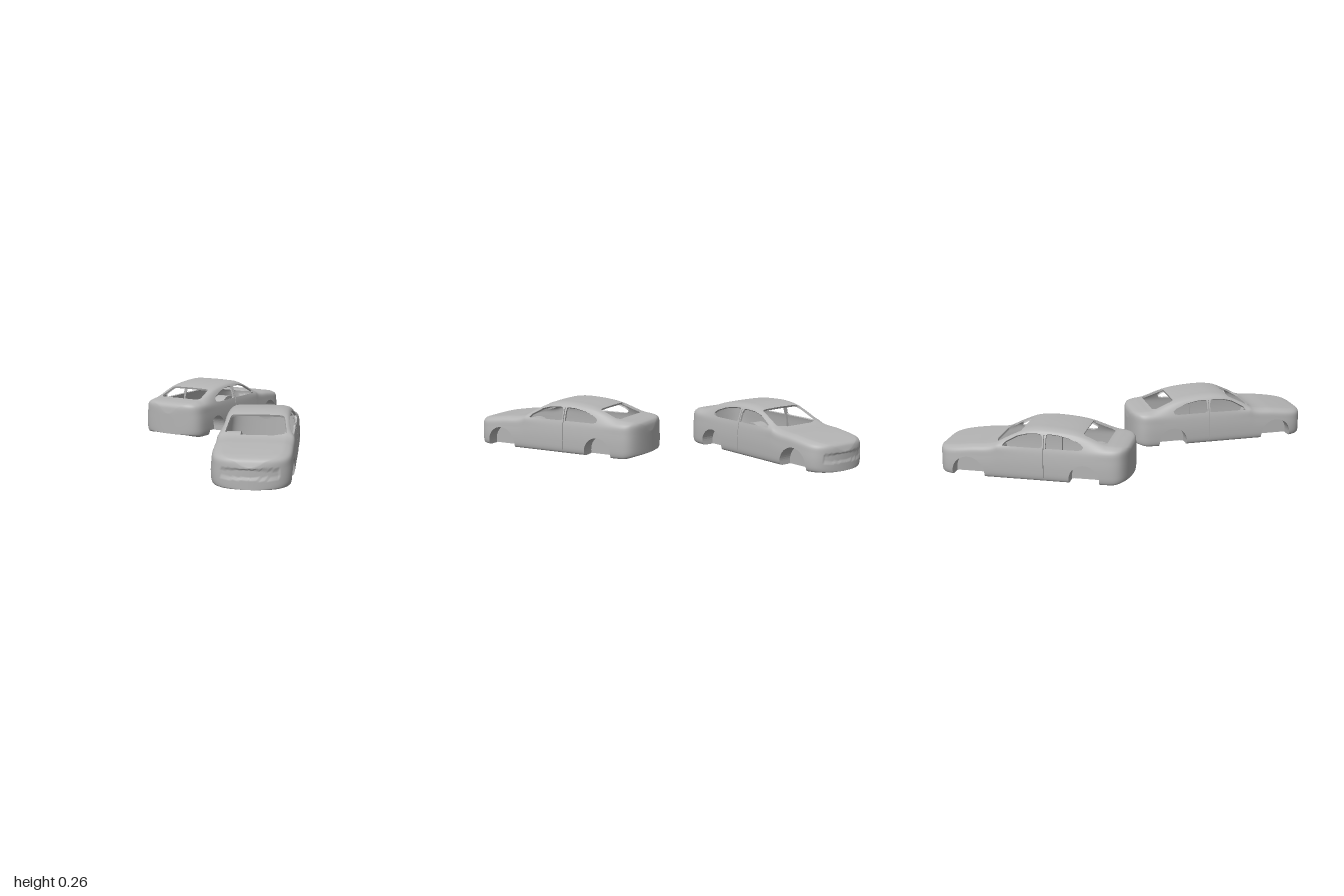
import * as THREE from 'three';

const HALF_LENGTH = 0.497, HALF_WIDTH = 0.184, ARCH_DEPTH = 0.11, SEAM = -0.076, FLOOR = 0.006;
const ARCHES = [{ z: 0.315, r: 0.085, y: 0.022 }, { z: -0.28, r: 0.077, y: 0.025 }];

// centreline height of the body, tail to nose (z, y)
const PROFILE = [[-0.497, 0.13], [-0.492, 0.165], [-0.477, 0.184], [-0.43, 0.195], [-0.38, 0.201],
  [-0.26, 0.244], [-0.18, 0.259], [-0.08, 0.266], [-0.02, 0.264], [0.04, 0.252], [0.12, 0.215],
  [0.19, 0.178], [0.3, 0.166], [0.4, 0.152], [0.46, 0.141], [0.486, 0.128], [0.497, 0.10]];

function topHeight(z) {
  const P = PROFILE, last = P.length - 1;
  let k = 0;
  while (k < last - 1 && z > P[k + 1][0]) k++;
  const slope = i => {
    const a = P[Math.max(i - 1, 0)], b = P[Math.min(i + 1, last)];
    return (b[1] - a[1]) / (b[0] - a[0]);
  };
  const d = P[k + 1][0] - P[k][0], t = THREE.MathUtils.clamp((z - P[k][0]) / d, 0, 1), s = 1 - t;
  return P[k][1] * (1 + 2 * t) * s * s + slope(k) * d * t * s * s
    + P[k + 1][1] * t * t * (3 - 2 * t) - slope(k + 1) * d * t * t * s;
}

// signed distance to a convex outline, negative inside
function convex(points) {
  const ca = points.reduce((s, p) => s + p[0], 0) / points.length;
  const cb = points.reduce((s, p) => s + p[1], 0) / points.length;
  const planes = points.map((p, i) => {
    const q = points[(i + 1) % points.length];
    let a = q[1] - p[1], b = p[0] - q[0];
    const len = Math.hypot(a, b);
    a /= len; b /= len;
    const sign = a * (ca - p[0]) + b * (cb - p[1]) > 0 ? -1 : 1;
    return [a * sign, b * sign, -(a * p[0] + b * p[1]) * sign];
  });
  return (u, v) => Math.max(...planes.map(([a, b, c]) => a * u + b * v + c));
}

// openings: side windows in (z, y), front and rear screens in (x, z)
const sideWindows = [
  convex([[0.135, 0.175], [0.127, 0.19], [0.06, 0.226], [0.01, 0.239], [-0.055, 0.242], [-0.064, 0.236], [-0.066, 0.175]]),
  convex([[-0.086, 0.175], [-0.086, 0.238], [-0.092, 0.242], [-0.14, 0.24], [-0.2, 0.229], [-0.26, 0.207], [-0.28, 0.19], [-0.273, 0.18], [-0.25, 0.175]]),
];
const screens = [
  convex([[-0.118, 0.045], [0.118, 0.045], [0.126, 0.052], [0.141, 0.16], [0.136, 0.168], [0.08, 0.184],
    [-0.08, 0.184], [-0.136, 0.168], [-0.141, 0.16], [-0.126, 0.052]]),
  convex([[-0.108, -0.265], [0.108, -0.265], [0.116, -0.275], [0.126, -0.365], [0.112, -0.383],
    [-0.112, -0.383], [-0.126, -0.365], [-0.116, -0.275]]),
];
const archDistance = p => Math.max(ARCH_DEPTH - Math.abs(p.x),
  Math.min(...ARCHES.map(a => Math.hypot(p.z - a.z, Math.max(0, p.y - a.y)) - a.r)));
function windowDistance(p) {
  const side = 0.1 - Math.abs(p.x), above = 0.13 - p.y;
  const seam = Math.max(Math.abs(p.z - SEAM) - 0.0015, side, 0.02 - p.y, p.y - 0.24);
  return Math.min(seam, ...sideWindows.map(w => Math.max(w(p.z, p.y), side)),
    ...screens.map(s => Math.max(s(p.x, p.z), above)));
}

// one closed cross-section of the body
function section(z, samples) {
  const u = z / HALF_LENGTH;
  const taper = Math.sqrt(Math.max(0, 1 - Math.pow(Math.abs(u), u > 0 ? 12 : 18)));
  const h = topHeight(z), b = Math.min(0.172, h - 0.018), w = HALF_WIDTH;
  const f = FLOOR + 0.016 * THREE.MathUtils.smoothstep(-u, 0.84, 1);
  const curve = new THREE.CatmullRomCurve3([
    [0, f], [0.5, f], [0.93, f], [0.98, f + 0.012], [1, b * 0.38], [0.985, b * 0.74], [0.945, b],
    [0.79, b + (h - b) * 0.8], [0.64, b + (h - b) * 0.95], [0.32, b + (h - b) * 0.99], [0, h],
  ].map(([x, y]) => new THREE.Vector3(x * w, y, z)));
  const half = [];
  for (let j = 0; j <= samples; j++) {
    const p = curve.getPoint(j / samples);
    p.x *= taper;
    // shallow front grille recess
    if (z > 0.4 && p.y > 0.05 && p.y < 0.092 && p.x < 0.125) p.z -= 0.005;
    half.push(p);
  }
  return half.concat(half.slice(0, -1).reverse().map(p => new THREE.Vector3(-p.x, p.y, p.z)));
}

function geometryFrom(positions, normals) {
  const g = new THREE.BufferGeometry();
  g.setAttribute('position', new THREE.Float32BufferAttribute(positions, 3));
  if (normals) g.setAttribute('normal', new THREE.Float32BufferAttribute(normals, 3));
  else g.computeVertexNormals();
  return g;
}

// loft the body, trim the openings and give their edges depth
function buildBody() {
  const stations = [SEAM], n = 150, samples = 44;
  for (let i = 0; i <= n; i++) stations.push(-HALF_LENGTH * Math.cos(Math.PI * i / n));
  stations.sort((a, b) => a - b);
  const rings = stations.map(z => section(z, samples)), m = rings[0].length;
  const index = [];
  for (let i = 0; i < rings.length - 1; i++) for (let j = 0; j < m - 1; j++) {
    const a = i * m + j, c = a + m;
    index.push(a, a + 1, c, a + 1, c + 1, c);
  }
  const points = rings.flat();
  const grid = new THREE.BufferGeometry().setFromPoints(points);
  grid.setIndex(index);
  grid.computeVertexNormals();
  const verts = points.map((p, i) => {
    const arch = archDistance(p), win = windowDistance(p);
    return { p, n: new THREE.Vector3().fromBufferAttribute(grid.attributes.normal, i), f: Math.min(arch, win), arch: arch < win };
  });

  const pos = [], nor = [], frames = [], liners = [];
  for (let t = 0; t < index.length; t += 3) {
    const tri = [verts[index[t]], verts[index[t + 1]], verts[index[t + 2]]], out = [], cut = [];
    tri.forEach((a, k) => {
      const b = tri[(k + 1) % 3];
      if (a.f >= 0) out.push(a);
      if ((a.f >= 0) !== (b.f >= 0)) {
        const s = a.f / (a.f - b.f);
        const e = { p: a.p.clone().lerp(b.p, s), n: a.n.clone().lerp(b.n, s).normalize(), arch: a.f < 0 ? a.arch : b.arch };
        out.push(e); cut.push(e);
      }
    });
    for (let k = 1; k < out.length - 1; k++) for (const v of [out[0], out[k], out[k + 1]]) {
      pos.push(...v.p); nor.push(...v.n);
    }
    if (cut.length === 2) {
      const [a, b] = cut, arch = a.arch;
      const inner = v => arch ? new THREE.Vector3(Math.sign(v.p.x) * ARCH_DEPTH, v.p.y, v.p.z)
        : v.p.clone().addScaledVector(v.n, -0.01);
      const ai = inner(a), bi = inner(b);
      for (const q of [a.p, b.p, bi, a.p, bi, ai]) (arch ? liners : frames).push(...q);
    }
  }
  return { shell: geometryFrom(pos, nor), frames: geometryFrom(frames), liners: geometryFrom(liners) };
}

export function createModel() {
  const paint = new THREE.MeshStandardMaterial({ color: 0xb4b4b4, side: THREE.DoubleSide });
  paint.name = 'grey body';
  const body = buildBody();

  // inner wall of each wheel housing
  const walls = ARCHES.map(a => {
    const s = new THREE.Shape();
    s.moveTo(a.r, FLOOR);
    s.lineTo(a.r, a.y);
    s.absarc(0, a.y, a.r, 0, Math.PI, false);
    s.lineTo(-a.r, FLOOR);
    return new THREE.ShapeGeometry(s, 24).rotateY(Math.PI / 2);
  });

  const model = new THREE.Group();
  model.name = 'carBodies';
  function addCar(name, x, z, turn) {
    const car = new THREE.Group();
    car.name = name;
    const add = (part, geometry) => {
      const mesh = new THREE.Mesh(geometry, paint);
      mesh.name = part;
      car.add(mesh);
      return mesh;
    };
    add('bodyShell', body.shell);
    add('windowFrames', body.frames);
    add('wheelArchLiners', body.liners);
    ARCHES.forEach((a, i) => [-1, 1].forEach(side =>
      add((i ? 'rear' : 'front') + (side > 0 ? 'Left' : 'Right') + 'WheelWall', walls[i])
        .position.set(side * ARCH_DEPTH, 0, a.z)));
    car.position.set(x, -FLOOR, z);
    car.rotation.y = turn;
    model.add(car);
  }
  addCar('frontCar', 0.253, 0.5, 0.08);
  addCar('rearCar', -0.16, -0.51, Math.PI - 0.36);
  return model;
}
